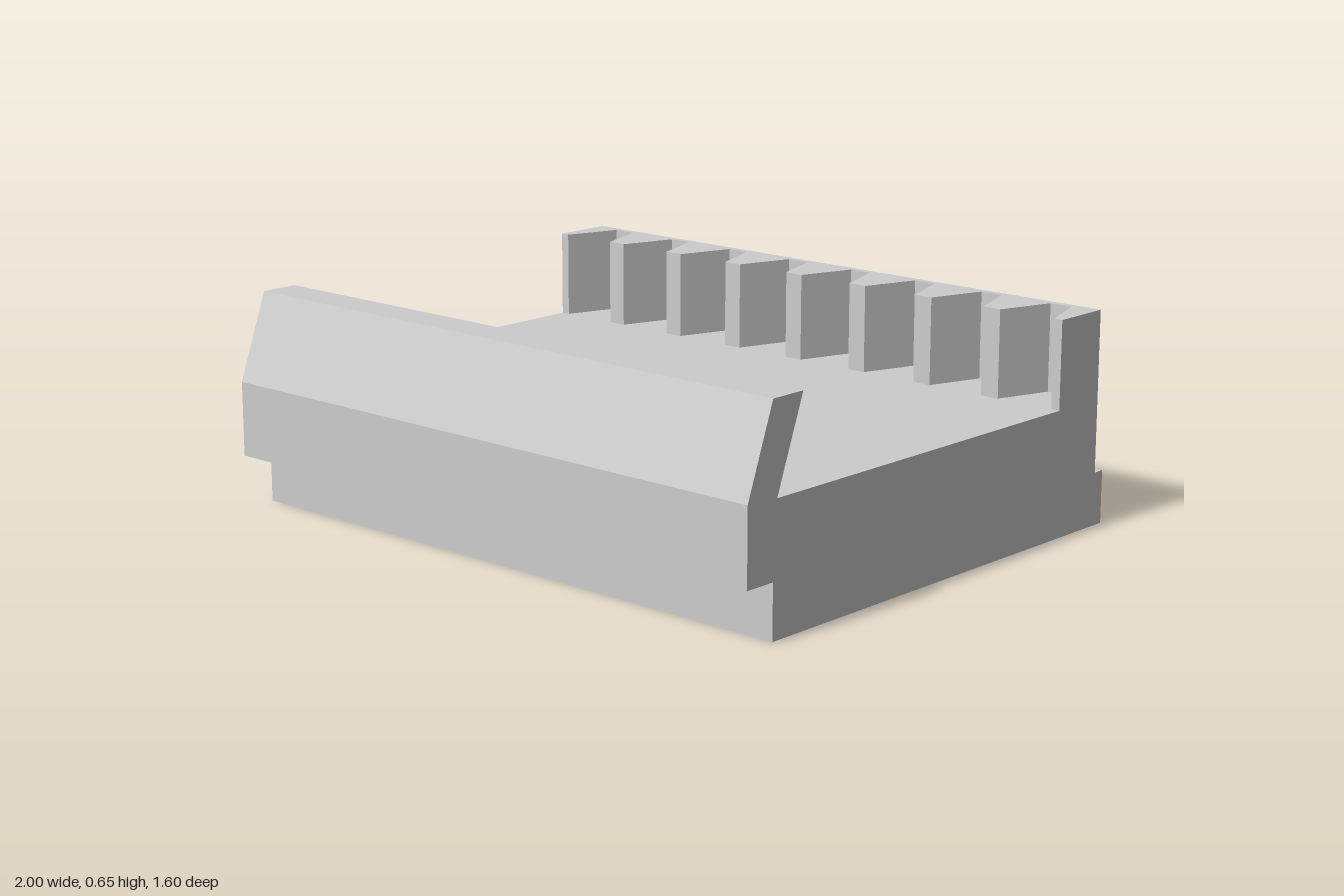
import * as THREE from 'three';

const toShape = (points) => new THREE.Shape(points.map(([a, b]) => new THREE.Vector2(a, b)));

export function createModel() {
  const group = new THREE.Group();
  const grey = new THREE.MeshStandardMaterial({ color: 0xcccccc });
  grey.name = 'light grey';

  const floorY = 0.385, topY = 0.652, backZ = -0.762;

  const add = (geometry, name) => {
    const mesh = new THREE.Mesh(geometry, grey);
    mesh.name = name;
    group.add(mesh);
  };

  // Base slab with the slanted front lip: side profile as (z, y), run across the width
  const profile = toShape([
    [0.698, 0], [0.698, 0.162], [0.8, 0.162], [0.8, 0.39], [0.703, topY],
    [0.584, topY], [0.684, floorY], [backZ, floorY], [backZ, 0.162],
    [-0.8, 0.162], [-0.8, 0],
  ]);
  const base = new THREE.ExtrudeGeometry(profile, { depth: 2, bevelEnabled: false });
  base.translate(0, 0, -1).rotateY(-Math.PI / 2);
  add(base, 'baseWithFrontLip');

  // Toothed back wall: plan outline as (x, -z), raised from the floor
  const tipZ = -0.569, valleyZ = -0.739, pitch = 0.2505;
  const outline = [[1, -backZ], [-1, -backZ], [-1, -tipZ]];
  for (let i = 0; i < 8; i++) {
    const x = (i - 3.5) * pitch;
    outline.push([x - 0.095, -tipZ], [x - 0.037, -valleyZ], [x + 0.037, -valleyZ], [x + 0.095, -tipZ]);
  }
  outline.push([1, -tipZ]);
  const wall = new THREE.ExtrudeGeometry(toShape(outline), { depth: topY - floorY, bevelEnabled: false });
  wall.rotateX(-Math.PI / 2).translate(0, floorY, 0);
  add(wall, 'toothedBackWall');

  return group;
}
